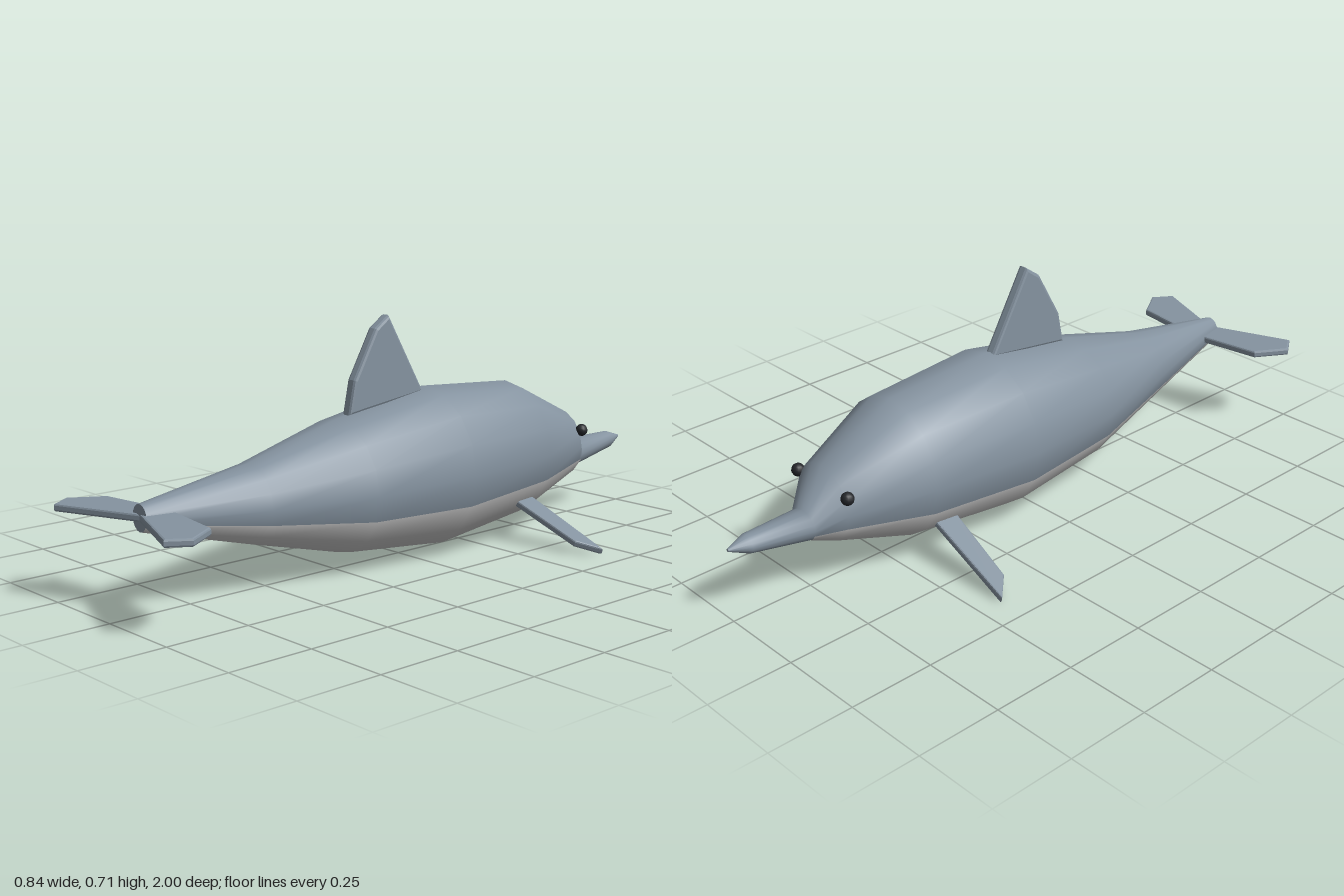
import * as THREE from 'three';

const skin = new THREE.MeshStandardMaterial({ color: 0x8593a0 });
const pale = new THREE.MeshStandardMaterial({ color: 0xd6d6d2 });
const dark = new THREE.MeshStandardMaterial({ color: 0x24262a });

const SIDES = 16;
// Body stations from tail to beak tip: z, top, bottom, half width
const STATIONS = [
  [0.9, 0.3, 0.225, 0.032],
  [0.55, 0.355, 0.13, 0.108],
  [0.24, 0.435, 0.05, 0.185],
  [-0.1, 0.493, 0.016, 0.222],
  [-0.45, 0.47, 0.055, 0.194],
  [-0.69, 0.355, 0.13, 0.11],
  [-0.76, 0.245, 0.157, 0.054],
  [-0.94, 0.245, 0.19, 0.03],
  [-1, 0.226, 0.218, 0.004],
];

function mesh(name, geometry, material) {
  const m = new THREE.Mesh(geometry, material);
  m.name = name;
  return m;
}

// Flat plate with slightly rounded rim, centred on its thickness
function plate(points, thickness) {
  const shape = new THREE.Shape(points.map(([x, y]) => new THREE.Vector2(x, y)));
  const bevel = thickness * 0.25;
  const geo = new THREE.ExtrudeGeometry(shape, {
    depth: thickness - 2 * bevel, bevelEnabled: true, bevelThickness: bevel,
    bevelSize: bevel, bevelOffset: -bevel, bevelSegments: 2,
  });
  return geo.translate(0, 0, -thickness / 2 + bevel);
}

// Back and belly share one smooth skin, split by rows of faces
function buildBody() {
  const positions = [];
  const back = [];
  const belly = [];
  STATIONS.forEach(([z, top, bottom, half], i) => {
    for (let j = 0; j < SIDES; j++) {
      const a = (j / SIDES) * Math.PI * 2;
      positions.push(half * Math.sin(a), (top + bottom) / 2 + ((top - bottom) / 2) * Math.cos(a), z);
      if (i === STATIONS.length - 1) continue;
      const p = i * SIDES + j;
      const p1 = i * SIDES + ((j + 1) % SIDES);
      const underside = j >= 5 && j <= 10 && i < 6;
      (underside ? belly : back).push(p, p1, p + SIDES, p1, p1 + SIDES, p + SIDES);
    }
  });
  const whole = new THREE.BufferGeometry();
  whole.setAttribute('position', new THREE.Float32BufferAttribute(positions, 3));
  whole.setIndex([...back, ...belly]);
  whole.computeVertexNormals();
  const part = (index) => {
    const g = whole.clone();
    g.setIndex(index);
    return g;
  };

  const body = new THREE.Group();
  body.name = 'body';
  body.add(mesh('back', part(back), skin), mesh('belly', part(belly), pale));

  // Flat ends of the tail and beak
  const [[z, top, bottom, half], tip] = [STATIONS[0], STATIONS[STATIONS.length - 1]];
  const tailEnd = mesh('tailEnd', new THREE.CircleGeometry(1, SIDES, Math.PI / 2), skin);
  tailEnd.scale.set(half, (top - bottom) / 2, 1);
  tailEnd.position.set(0, (top + bottom) / 2, z);
  const beakTip = mesh('beakTip', new THREE.CircleGeometry(0.004, SIDES).rotateY(Math.PI), skin);
  beakTip.position.set(0, (tip[1] + tip[2]) / 2, tip[0]);
  body.add(tailEnd, beakTip);
  return body;
}

export function createModel() {
  const model = new THREE.Group();
  model.name = 'dolphin';
  model.add(buildBody());

  // Dorsal fin, drawn as (z, y)
  const fin = plate([[0.2, 0.442], [0.18, 0.54], [0.1, 0.68], [0.05, 0.715], [-0.085, 0.48]], 0.036);
  model.add(mesh('dorsalFin', fin.rotateY(-Math.PI / 2), skin));

  for (const side of [1, -1]) {
    const label = side > 0 ? 'left' : 'right';
    const mirrored = (pts) => pts.map(([x, z]) => [side * x, z]);

    // Flippers, drawn as (x, z) and sloping down
    const flipperGeo = plate(mirrored([[0, -0.42], [0.325, -0.43], [0.264, -0.37], [0, -0.345]]), 0.02);
    const flipper = mesh(label + 'Flipper', flipperGeo.rotateX(Math.PI / 2), skin);
    flipper.position.set(side * 0.12, 0.134, 0);
    flipper.rotation.z = -side * 0.39;
    model.add(flipper);

    // Tail flukes
    const flukeGeo = plate(mirrored([[0, 0.9], [0.25, 1], [0.291, 0.94], [0.232, 0.845], [0, 0.81]]), 0.022);
    const fluke = mesh(label + 'Fluke', flukeGeo.rotateX(Math.PI / 2), skin);
    fluke.position.y = 0.262;
    model.add(fluke);

    // Eyes
    const eye = mesh(label + 'Eye', new THREE.SphereGeometry(0.019, 12, 8), dark);
    eye.position.set(side * 0.108, 0.297, -0.69);
    model.add(eye);
  }
  return model;
}
